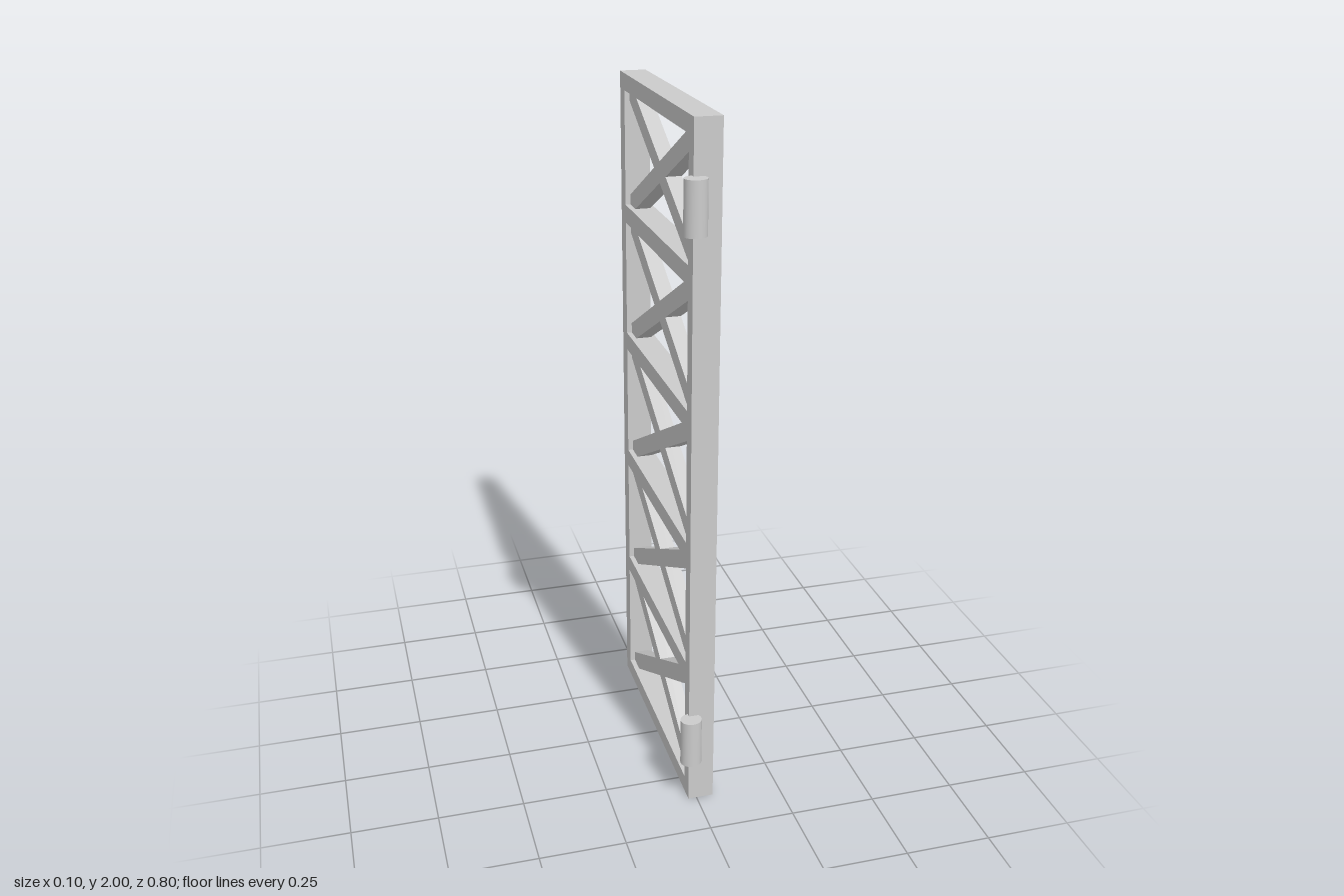
import * as THREE from 'three';

const FRAME_X = 0.0125; // middle of the frame's thickness
const FRAME_DEPTH = 0.075;
const BRACE_DEPTH = 0.045;
const BACK = -0.4, FRONT = 0.355; // outer edges along z
const INNER_BACK = -0.35, INNER_FRONT = 0.312;
// bottom and top of each opening
const CELLS = [[0.05, 0.397], [0.448, 0.777], [0.83, 1.169], [1.222, 1.566], [1.62, 1.952]];

const points = (list) => list.map(([z, y]) => new THREE.Vector2(z, y));

// Extrude a profile drawn in (z, y) symmetrically about the frame's mid-plane
function slab(shape, depth) {
  return new THREE.ExtrudeGeometry(shape, { depth, bevelEnabled: false })
    .translate(0, 0, -depth / 2)
    .rotateY(-Math.PI / 2)
    .translate(FRAME_X, 0, 0);
}

export function createModel() {
  const group = new THREE.Group();
  const material = new THREE.MeshStandardMaterial({ color: 0xcccccc });
  const add = (name, geometry) => {
    const mesh = new THREE.Mesh(geometry, material);
    mesh.name = name;
    group.add(mesh);
    return mesh;
  };

  // Posts and rails: one slab with five openings
  const outline = new THREE.Shape(points([[BACK, 0], [FRONT, 0], [FRONT, 2], [BACK, 2]]));
  for (const [y0, y1] of CELLS) {
    outline.holes.push(new THREE.Path(points([
      [INNER_BACK, y0], [INNER_BACK, y1], [INNER_FRONT, y1], [INNER_FRONT, y0],
    ])));
  }
  add('frame', slab(outline, FRAME_DEPTH));

  // Crossed braces, trimmed to fit the corners of each opening
  const cutZ = 0.058, cutY = 0.03;
  for (const [y0, y1] of CELLS) {
    for (const rising of [true, false]) {
      const a = rising ? INNER_BACK : INNER_FRONT;
      const b = rising ? INNER_FRONT : INNER_BACK;
      const c = Math.sign(b - a) * cutZ;
      const brace = new THREE.Shape(points([
        [a, y0], [a + c, y0], [b, y1 - cutY], [b, y1], [b - c, y1], [a, y0 + cutY],
      ]));
      add(rising ? 'risingBrace' : 'fallingBrace', slab(brace, BRACE_DEPTH));
    }
  }

  // Hinge barrels, slightly oval, at the front corner
  for (const [name, y] of [['lowerHinge', 0.217], ['upperHinge', 1.783]]) {
    const hinge = add(name, new THREE.CylinderGeometry(1, 1, 0.145, 24));
    hinge.scale.set(0.031, 1, 0.028);
    hinge.position.set(-0.023, y, 0.37);
  }

  return group;
}
